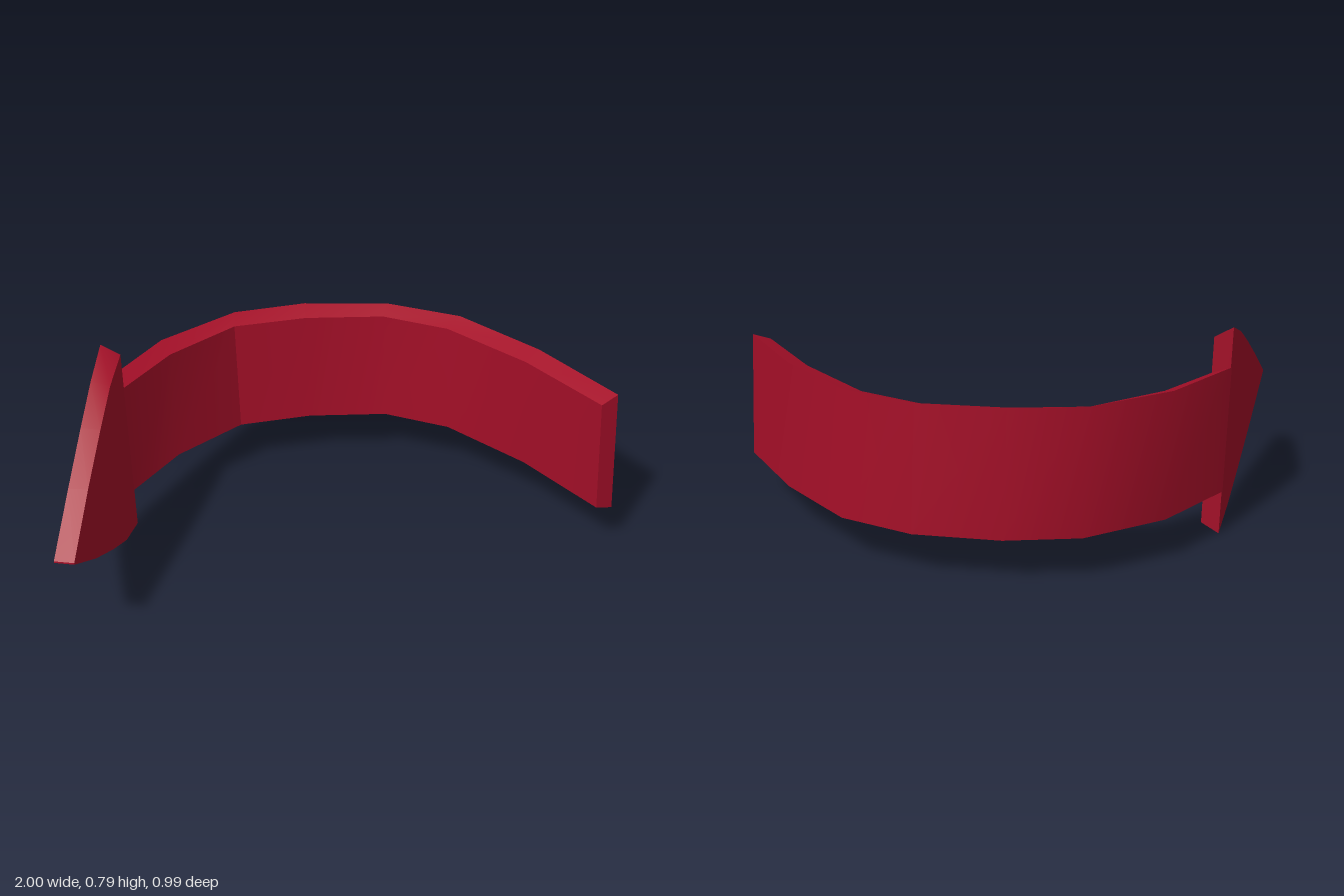
import * as THREE from 'three';
import { toCreasedNormals } from 'three/addons/utils/BufferGeometryUtils.js';

const MID = 0.41; // mid height of the ribbon

// Skins four-cornered sections. Each station: outer [x, z], inner [x, z],
// outer [bottom, top] and inner [bottom, top] heights.
function loft(stations) {
  const pos = [], index = [];
  const corner = ([x, z], y) => {
    const d = y - MID; // the whole ribbon leans slightly
    pos.push(x - (0.035 + 0.02 * x) * d, y, z - 0.015 * d);
  };
  for (const [outer, inner, [ob, ot], [ib, it]] of stations) {
    corner(outer, ot);
    corner(inner, it);
    corner(inner, ib);
    corner(outer, ob);
  }
  const quad = (a, b, c, d) => index.push(a, b, c, a, c, d);
  for (let s = 0; s < stations.length - 1; s++) {
    for (let i = 0; i < 4; i++) {
      const j = (i + 1) % 4, a = s * 4, b = a + 4;
      quad(a + i, b + i, b + j, a + j);
    }
  }
  const e = (stations.length - 1) * 4;
  quad(0, 1, 2, 3);
  quad(e + 3, e + 2, e + 1, e);
  const geometry = new THREE.BufferGeometry();
  geometry.setAttribute('position', new THREE.Float32BufferAttribute(pos, 3));
  geometry.setIndex(index);
  return toCreasedNormals(geometry, 0.44);
}

export function createModel() {
  const group = new THREE.Group();
  group.name = 'curvedArrow';
  const material = new THREE.MeshStandardMaterial({ color: 0xa50f28 });

  const add = (name, stations) => {
    const mesh = new THREE.Mesh(loft(stations), material);
    mesh.name = name;
    group.add(mesh);
  };

  // Bent band, from the tail end round to the arrowhead
  const outer = [[0.983, 0.47], [0.855, 0.11], [0.68, -0.2], [0.455, -0.375], [0.16, -0.473],
    [-0.11, -0.492], [-0.42, -0.38], [-0.68, -0.167]];
  const inner = [[0.917, 0.48], [0.79, 0.14], [0.615, -0.165], [0.42, -0.325], [0.14, -0.405],
    [-0.13, -0.43], [-0.407, -0.31], [-0.615, -0.145]];
  add('shaft', outer.map((o, i) => {
    const rise = 0.01 * Math.sin((i / 7) * Math.PI);
    const top = 0.647 + rise, bottom = 0.172 + rise;
    return [o, inner[i], [bottom, top], [bottom + 0.02, top - 0.024]];
  }));

  // Arrowhead: [fraction to tip, outer half height, inner half height]
  const lerp = (a, b, t) => [a[0] + (b[0] - a[0]) * t, a[1] + (b[1] - a[1]) * t];
  const sections = [[0, 0.395, 0.356], [0.21, 0.335, 0.322], [0.43, 0.25, 0.246],
    [0.7, 0.137, 0.14], [1, 0.003, 0.003]];
  add('arrowhead', sections.map(([t, ho, hi]) => [
    lerp([-0.677, -0.167], [-1, 0.46], t),
    lerp([-0.615, -0.145], [-0.94, 0.49], t),
    [0.4 - ho, 0.4 + ho],
    [0.4 - hi, 0.4 + hi],
  ]));

  return group;
}
